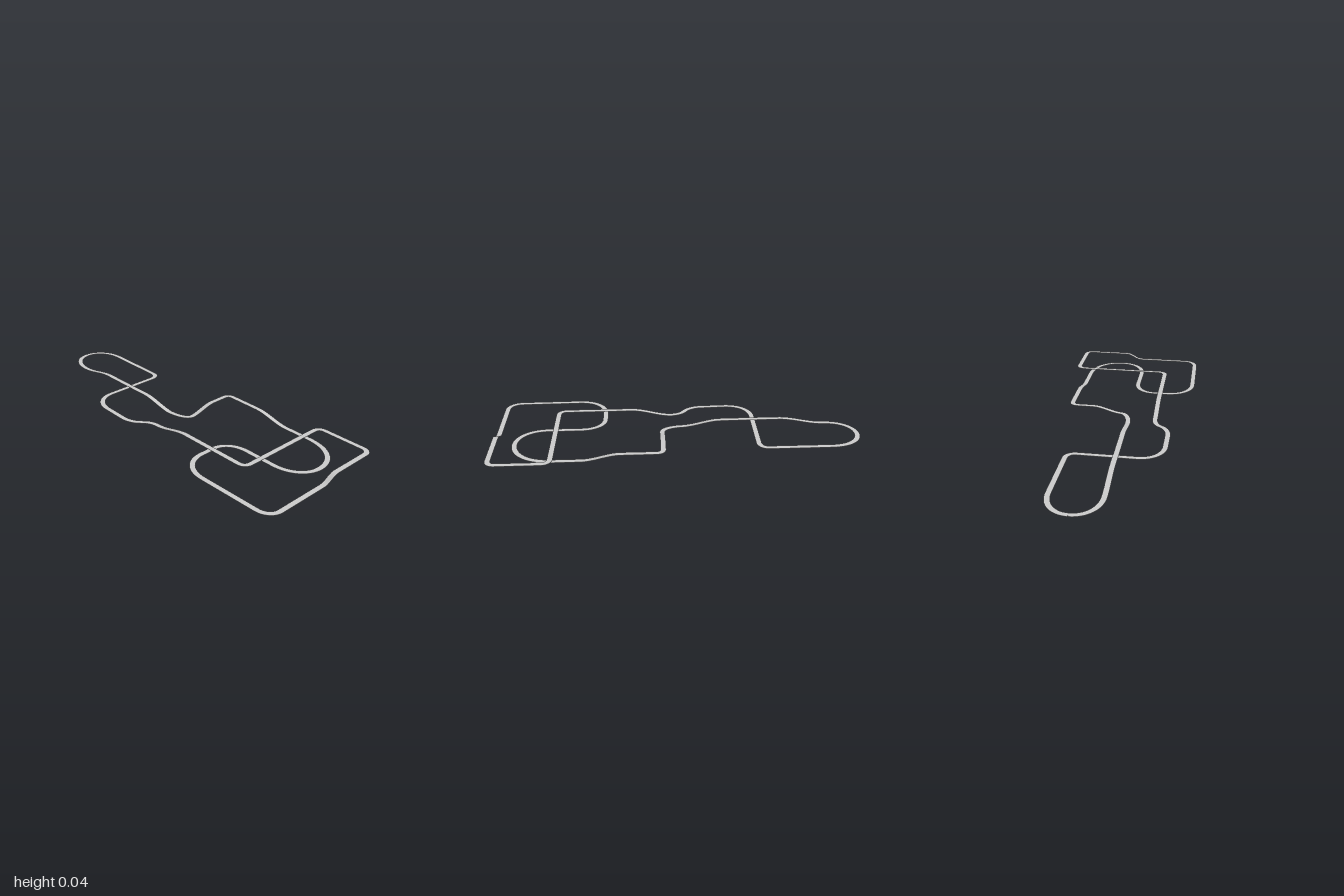
import * as THREE from 'three';
import { toCreasedNormals } from 'three/addons/utils/BufferGeometryUtils.js';

const LOW = 0.0055, HIGH = 0.0405, HALF_WIDTH = 0.0145, THICKNESS = 0.0015;

// Circuit corners in driving order: x, z, length trimmed before and after the
// corner, height, and where the ramp on the following straight starts and ends.
const CORNERS = [
  [-0.055, -0.985, 0.13, 0.165, LOW, [-0.82, -0.57]],
  [-0.053, -0.4, 0.02, 0.02, HIGH, [-0.24, -0.02]],
  [-0.048, 0.088, 0.13, 0.06, LOW, [0.0, 0.165]],
  [0.291, 0.088, 0.035, 0.035, HIGH, [0.31, 0.52]],
  [0.291, 0.885, 0.21, 0.18, LOW],
  [-0.035, 0.885, 0.145, 0.17, LOW],
  [-0.035, 0.408, 0.13, 0.11, LOW],
  [-0.372, 0.408, 0.15, 0.16, LOW],
  [-0.365, 0.985, 0.08, 0.07, LOW, [0.0, 0.097]],
  [0.37, 0.985, 0.04, 0.04, HIGH],
  [0.37, 0.67, 0.04, 0.04, HIGH],
  [-0.191, 0.67, 0.04, 0.04, HIGH, [0.26, 0.03]],
  [-0.193, -0.012, 0.05, 0.04, 0.002],
  [-0.281, -0.09, 0.05, 0.06, 0.0035],
  [-0.281, -0.43, 0.14, 0.13, LOW],
  [0.205, -0.43, 0.05, 0.05, LOW],
  [0.205, -0.985, 0.165, 0.13, LOW],
].map(([x, z, before, after, y, ramp]) => ({ p: new THREE.Vector3(x, y, z), before, after, ramp }));

// Point at a distance from corner a towards corner b, kept at a's height
function towards(a, b, distance) {
  const d = b.clone().sub(a).setY(0).normalize();
  return a.clone().addScaledVector(d, distance);
}

// Centre line: a rounded bend at each corner, then a straight with its ramp
function centreLine() {
  const points = [];
  const n = CORNERS.length;
  CORNERS.forEach((corner, i) => {
    const prev = CORNERS[(i + n - 1) % n], next = CORNERS[(i + 1) % n];
    const start = towards(corner.p, prev.p, corner.before);
    const end = towards(corner.p, next.p, corner.after);
    const bend = new THREE.CubicBezierCurve3(
      start, start.clone().lerp(corner.p, 0.58), end.clone().lerp(corner.p, 0.58), end);
    points.push(...bend.getPoints(16).slice(0, -1));

    const stop = towards(next.p, corner.p, next.before);
    const axis = Math.abs(stop.x - end.x) > Math.abs(stop.z - end.z) ? 'x' : 'z';
    const [from, to] = corner.ramp || [end[axis], stop[axis]];
    const steps = corner.ramp ? 40 : 8;
    for (let k = 0; k < steps; k++) {
      const q = end.clone().lerp(stop, k / steps);
      const t = THREE.MathUtils.smoothstep((q[axis] - from) / (to - from), 0, 1);
      q.y = THREE.MathUtils.lerp(end.y, stop.y, t);
      points.push(q);
    }
  });
  return points;
}

// Thin slab of constant width swept along the closed centre line
function roadGeometry(points) {
  const n = points.length, position = [], index = [];
  points.forEach((p, i) => {
    const t = points[(i + 1) % n].clone().sub(points[(i + n - 1) % n]).setY(0).normalize();
    const sx = -t.z * HALF_WIDTH, sz = t.x * HALF_WIDTH, base = p.y - THICKNESS;
    position.push(
      p.x - sx, p.y, p.z - sz, p.x + sx, p.y, p.z + sz,
      p.x + sx, base, p.z + sz, p.x - sx, base, p.z - sz);
    for (let k = 0; k < 4; k++) {
      const k2 = (k + 1) % 4, row = 4 * i, nextRow = 4 * ((i + 1) % n);
      index.push(row + k, row + k2, nextRow + k, row + k2, nextRow + k2, nextRow + k);
    }
  });
  const geometry = new THREE.BufferGeometry();
  geometry.setAttribute('position', new THREE.Float32BufferAttribute(position, 3));
  geometry.setIndex(index);
  return toCreasedNormals(geometry, Math.PI / 4);
}

export function createModel() {
  const group = new THREE.Group();
  group.name = 'raceCircuit';
  const material = new THREE.MeshStandardMaterial({ color: 0xcccccc });
  const road = new THREE.Mesh(roadGeometry(centreLine()), material);
  road.name = 'road';
  group.add(road);
  return group;
}
